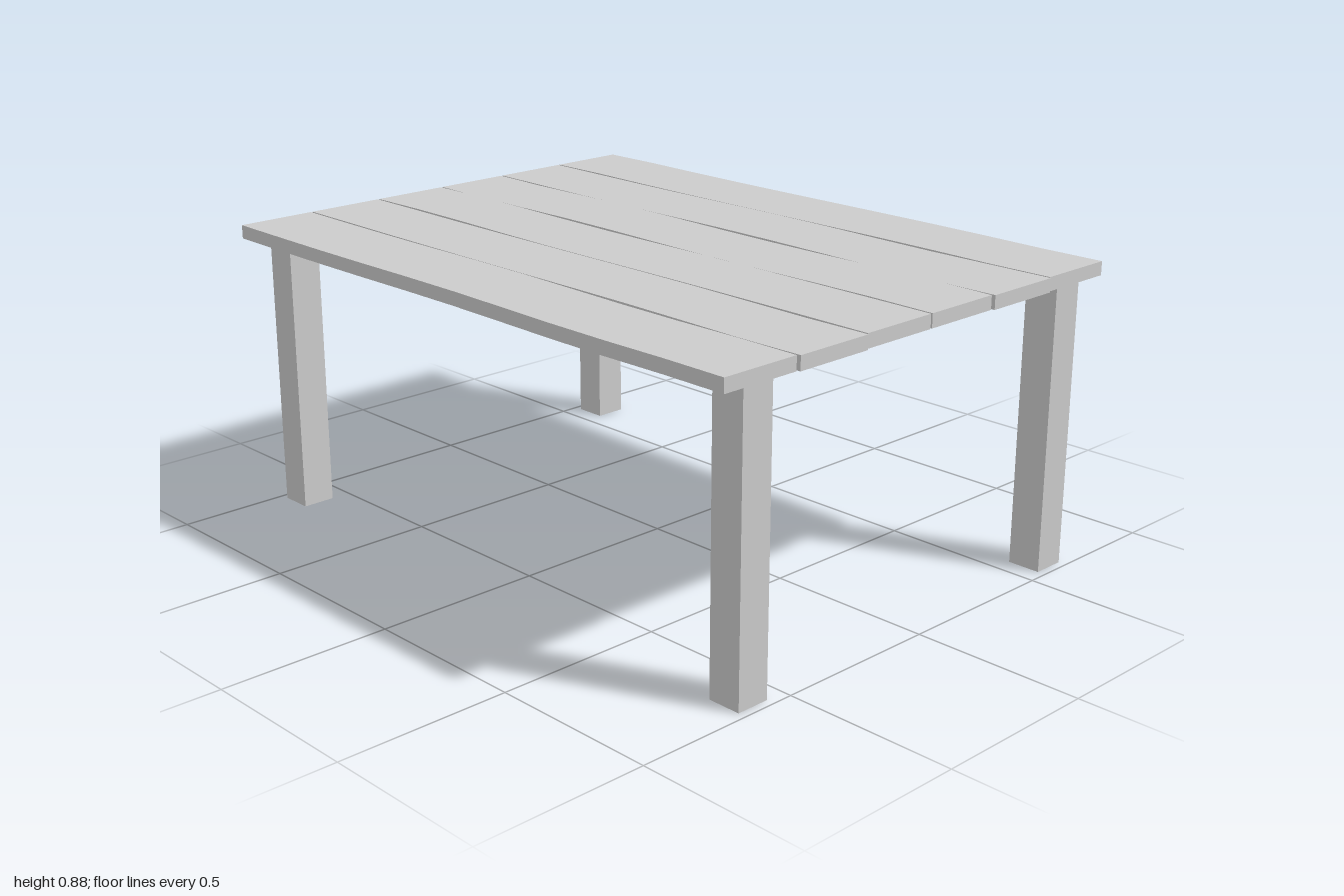
import * as THREE from 'three';

const material = new THREE.MeshStandardMaterial({ color: 0xcccccc });

// Box given by its minimum and maximum corners
function box(name, x0, x1, y0, y1, z0, z1, segments = 1) {
  const geometry = new THREE.BoxGeometry(x1 - x0, y1 - y0, z1 - z0, segments, 1, 1);
  geometry.translate((x0 + x1) / 2, (y0 + y1) / 2, (z0 + z1) / 2);
  const mesh = new THREE.Mesh(geometry, material);
  mesh.name = name;
  return mesh;
}

// Slightly uneven sawn edges along a plank
function roughen(geometry, phase) {
  const p = geometry.attributes.position;
  for (let i = 0; i < p.count; i++) {
    const x = p.getX(i);
    if (Math.abs(x) > 0.95) continue;
    p.setY(i, p.getY(i) + 0.0015 * Math.sin(5 * x + phase));
    p.setZ(i, p.getZ(i) + 0.0015 * Math.sin(7 * x + 2 * phase));
  }
}

export function createModel() {
  const table = new THREE.Group();
  table.name = 'table';

  // Six planks with narrow gaps; two reach a little further at one end
  const top = new THREE.Group();
  top.name = 'tableTop';
  const pitch = 0.248;
  for (let i = 0; i < 6; i++) {
    const z = (i - 2.5) * pitch;
    const end = i === 1 || i === 4 ? 1 : 0.993;
    const plank = box('plank', -0.998, end, 0.84, 0.88, z - 0.121, z + 0.121, 10);
    roughen(plank.geometry, i * 1.7);
    top.add(plank);
  }
  table.add(top);

  // Four square legs
  for (const sx of [-1, 1]) {
    for (const sz of [-1, 1]) {
      const x = sx * 0.926, z = sz * 0.61;
      table.add(box('leg', x - 0.05, x + 0.05, 0, 0.842, z - 0.05, z + 0.05));
    }
  }

  // Rails under the planks, on the back and one end only
  table.add(box('backRail', -0.88, 0.88, 0.803, 0.841, -0.66, -0.605));
  table.add(box('endRail', -0.976, -0.92, 0.805, 0.841, -0.56, 0.56));

  return table;
}
